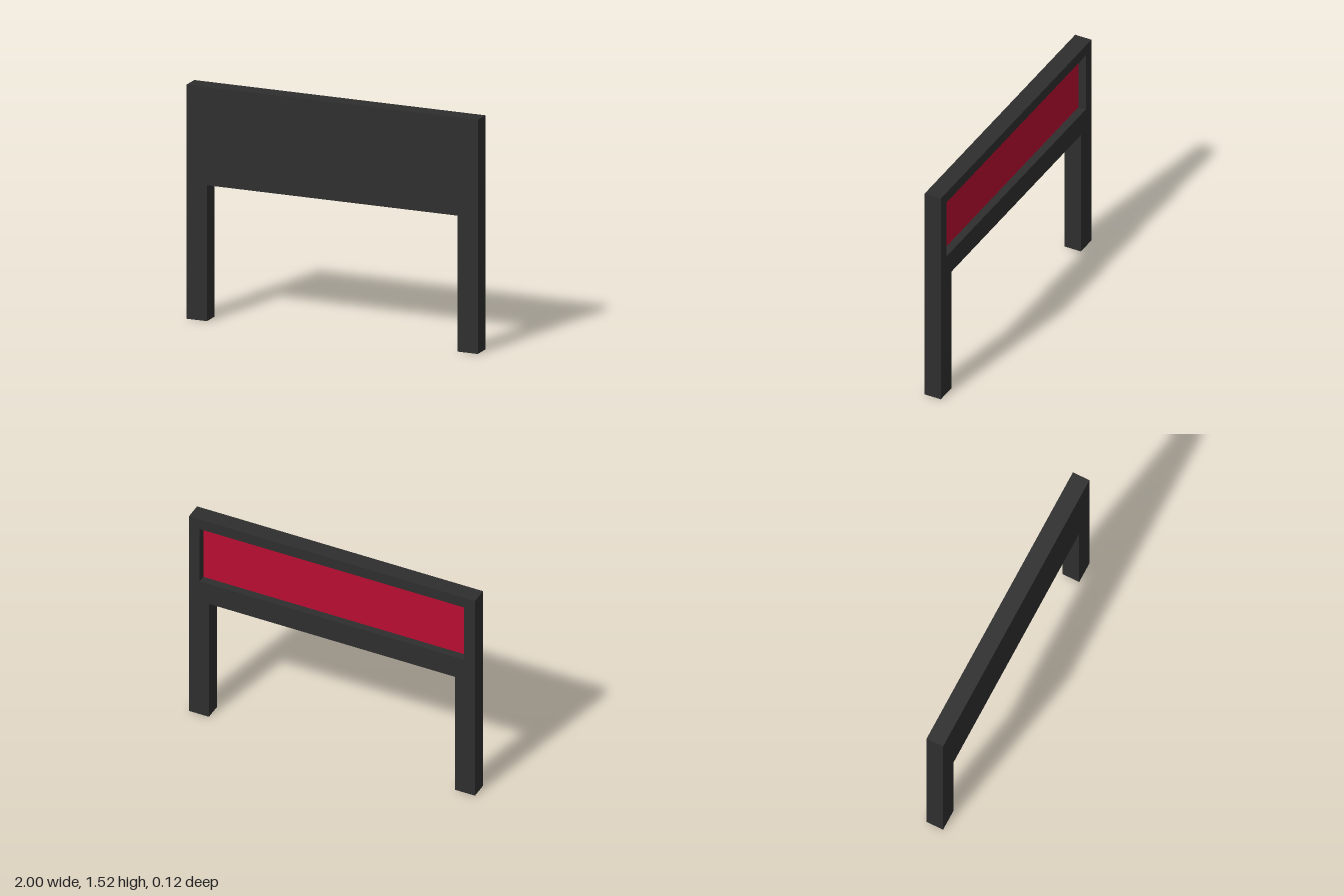
import * as THREE from 'three';

const HEIGHT = 1.525, HALF_DEPTH = 0.058, LEG = 0.14, BEAM_BOTTOM = 0.885;
const RECESS = { x: 0.925, bottom: 1.04, top: 1.45, z: -0.005 };

const shapeFrom = (pts) => new THREE.Shape(pts.map(([x, y]) => new THREE.Vector2(x, y)));

// Outline of the board standing on two legs
function boardOutline() {
  const inner = 1 - LEG;
  return shapeFrom([
    [-1, 0], [-inner, 0], [-inner, BEAM_BOTTOM], [inner, BEAM_BOTTOM],
    [inner, 0], [1, 0], [1, HEIGHT], [-1, HEIGHT],
  ]);
}

// Keep only the triangles that do not face the front
function withoutFrontCap(geometry) {
  const normal = geometry.attributes.normal;
  const keep = [];
  for (let i = 0; i < normal.count; i += 3) {
    if (normal.getZ(i) < 0.9) keep.push(i, i + 1, i + 2);
  }
  geometry.clearGroups();
  geometry.setIndex(keep);
  return geometry;
}

export function createModel() {
  const model = new THREE.Group();
  model.name = 'standingBoard';
  const dark = new THREE.MeshStandardMaterial({ color: 0x2e2e2e });
  const red = new THREE.MeshStandardMaterial({ color: 0xb80d30 });

  const add = (name, geometry, material, z) => {
    const mesh = new THREE.Mesh(geometry, material);
    mesh.name = name;
    mesh.position.z = z;
    model.add(mesh);
    return mesh;
  };

  // Legs and surround, with a rectangular opening at the back
  const { x, bottom, top } = RECESS;
  const opening = [[-x, bottom], [-x, top], [x, top], [x, bottom]];
  const surround = boardOutline();
  surround.holes.push(shapeFrom(opening));
  const frame = new THREE.ExtrudeGeometry(surround, { depth: 2 * HALF_DEPTH, bevelEnabled: false });
  add('frame', withoutFrontCap(frame), dark, -HALF_DEPTH);

  // Plain front face, closing the frame without a seam
  add('frontFace', new THREE.ShapeGeometry(boardOutline()), dark, HALF_DEPTH);

  // Red panel set into the back opening
  const panel = add('recessedPanel', new THREE.PlaneGeometry(2 * x, top - bottom), red, RECESS.z);
  panel.position.y = (top + bottom) / 2;
  panel.rotation.y = Math.PI;

  return model;
}
